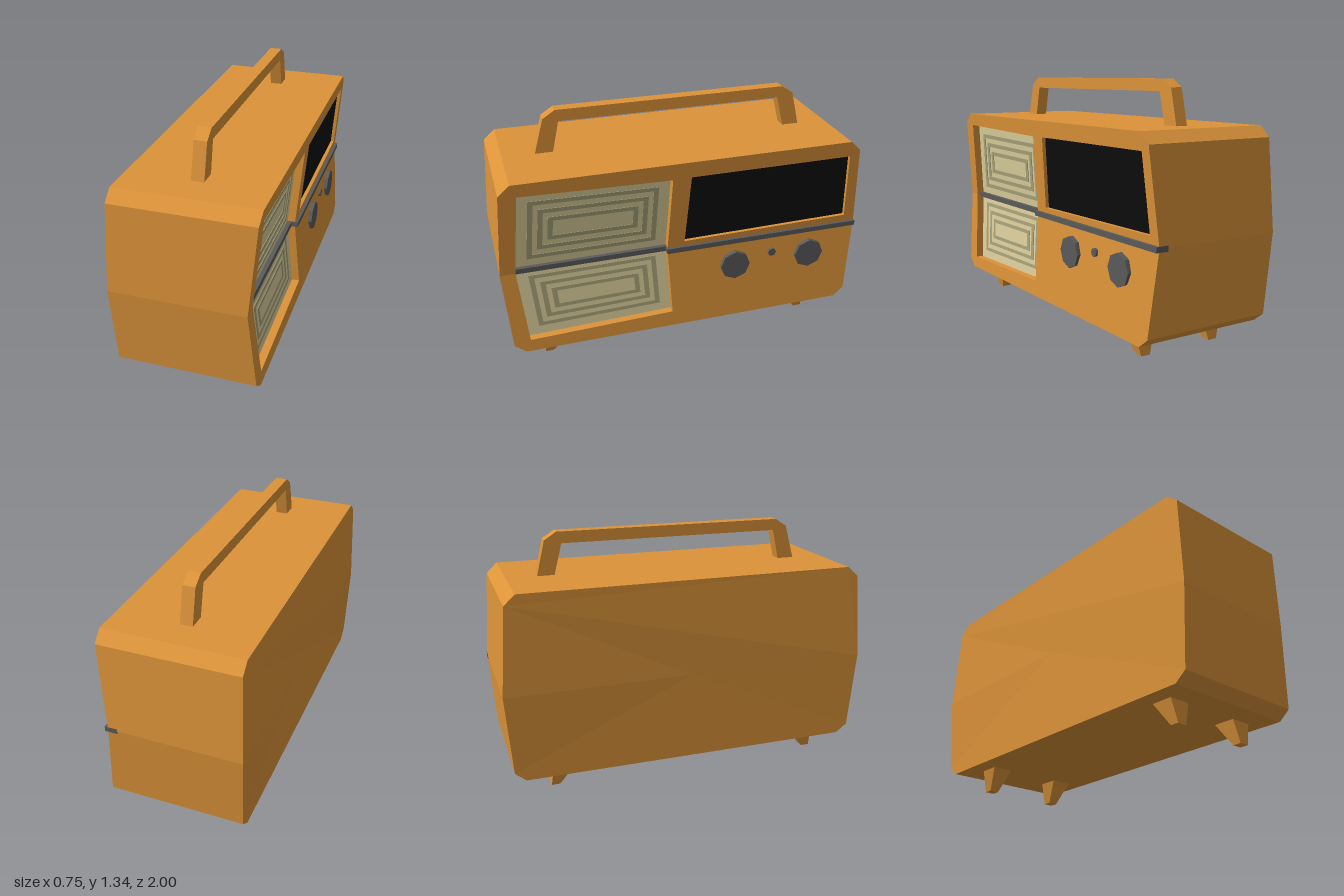
import * as THREE from 'three';

const mat = (color) => new THREE.MeshStandardMaterial({ color, flatShading: true });

const MID = 0.59, DEPTH = 0.045;
// front face is a shallow V in profile, deepest at mid height
const front = (y) => 0.33 + 0.085 * Math.abs(y - MID);
const inset = (d) => (y) => front(y) - d;
// back bulges slightly at the mid-height ends
const back = (y, u) => -0.362 - (Math.abs(y - MID) < 0.01 ? 0.013 * Math.abs(u) : 0);

// Outline in (u = -z, y), given thickness along x between two functions
function slab(points, holes, xBack, xFront) {
  const vec = (p) => p.map(([u, y]) => new THREE.Vector2(u, y));
  const shape = new THREE.Shape(vec(points));
  holes.forEach((h) => shape.holes.push(new THREE.Path(vec(h))));
  const geo = new THREE.ExtrudeGeometry(shape, { depth: 1, bevelEnabled: false });
  const p = geo.attributes.position;
  for (let i = 0; i < p.count; i++) {
    const u = p.getX(i), y = p.getY(i), t = p.getZ(i);
    p.setXYZ(i, THREE.MathUtils.lerp(xBack(y, u), xFront(y, u), t), y, -u);
  }
  geo.computeVertexNormals();
  return geo;
}

// Rectangle inside a four-cornered panel, inset by fractions of its size
function insetQuad([a, b, c, d], fu, fv) {
  const at = (s, t) => [0, 1].map((k) =>
    (1 - t) * ((1 - s) * a[k] + s * b[k]) + t * ((1 - s) * d[k] + s * c[k]));
  return [at(fu, fv), at(1 - fu, fv), at(1 - fu, 1 - fv), at(fu, 1 - fv)];
}

export function createModel() {
  const model = new THREE.Group();
  const orange = mat(0xdc9339), cream = mat(0xdccf9c), olive = mat(0xa8a27a);
  const black = mat(0x0d0d0d), grey = mat(0x5a5a5a);
  const add = (name, geo, material, parent = model) => {
    const mesh = new THREE.Mesh(geo, material);
    mesh.name = name;
    parent.add(mesh);
    return mesh;
  };

  // Case: upper and lower halves meeting at the mid crease
  const upperEdge = [[1, MID], [0.965, 1.055], [0.907, 1.11], [-0.907, 1.11], [-0.968, 1.055], [-1, MID]];
  const lowerEdge = [[1, MID], [0.965, 0.165], [0.907, 0.118], [-0.907, 0.118], [-0.968, 0.165], [-1, MID]];
  const upperNotch = [[-0.92, MID], [-0.88, 1.04], [-0.09, 1.02], [-0.11, MID]];
  const lowerNotch = [[-0.92, MID], [-0.88, 0.185], [-0.09, 0.205], [-0.11, MID]];
  const screenQuad = [[-0.015, 0.63], [0.935, 0.642], [0.91, 1.022], [0.01, 1.022]];

  add('upperCase', slab([...upperEdge, [0, MID]], [], back, inset(DEPTH)), orange);
  add('lowerCase', slab([...lowerEdge, [0, MID]], [], back, inset(DEPTH)), orange);
  add('upperFrontFrame', slab([...upperEdge, ...upperNotch], [screenQuad], inset(DEPTH), front), orange);
  add('lowerFrontFrame', slab([...lowerEdge, ...lowerNotch], [], inset(DEPTH), front), orange);
  add('screen', slab(screenQuad, [], inset(DEPTH), inset(0.02)), black);

  // Speaker grilles with three nested rings each
  [['upperSpeaker', upperNotch], ['lowerSpeaker', lowerNotch]].forEach(([name, [oMid, oEnd, iEnd, iMid]]) => {
    const speaker = new THREE.Group();
    speaker.name = name;
    model.add(speaker);
    const quad = [oMid, iMid, iEnd, oEnd];
    add('grille', slab(quad, [], inset(DEPTH), inset(0.042)), cream, speaker);
    for (let k = 0; k < 3; k++) {
      const fu = 0.075 + 0.065 * k, fv = 0.12 + 0.115 * k;
      const ring = slab(insetQuad(quad, fu, fv), [insetQuad(quad, fu + 0.033, fv + 0.05)],
        inset(0.043), inset(0.039));
      add('grilleRing', ring, olive, speaker);
    }
  });

  // Trim strip, stepping back into the speaker recess
  const strip = (u0, u1, x0, x1) => slab(
    [[u0, 0.574], [u1, 0.574], [u1, 0.602], [u0, 0.602]], [], () => x0, () => x1);
  add('trimStrip', strip(-0.115, 1, 0.28, 0.348), grey);
  add('recessedTrimStrip', strip(-0.92, -0.1, 0.28, 0.312), grey);

  // Control knobs
  const knob = (name, u, y, radius, xEnd) => {
    const geo = new THREE.CylinderGeometry(radius, radius, xEnd - 0.32, 8).rotateZ(-Math.PI / 2);
    add(name, geo, grey).position.set((xEnd + 0.32) / 2, y, -u);
  };
  knob('knob', 0.275, 0.44, 0.085, 0.362);
  knob('knob', 0.72, 0.44, 0.085, 0.362);
  knob('smallKnob', 0.497, 0.48, 0.023, 0.352);

  // Carrying handle
  add('handle', slab([
    [-0.74, 1.1], [-0.645, 1.1], [-0.605, 1.275], [0.61, 1.275], [0.655, 1.1], [0.747, 1.1],
    [0.7, 1.295], [0.635, 1.337], [-0.62, 1.337], [-0.685, 1.295],
  ], [], () => -0.028, () => 0.038), orange);

  // Splayed, tapered feet
  for (const x of [-0.21, 0.22]) for (const side of [-1, 1]) {
    const geo = new THREE.BoxGeometry(1, 0.13, 1).translate(0, 0.065, 0);
    const p = geo.attributes.position;
    for (let i = 0; i < p.count; i++) {
      const top = p.getY(i) > 0.01;
      p.setX(i, x + p.getX(i) * (top ? 0.122 : 0.052));
      p.setZ(i, 0.018 + side * (top ? 0.705 : 0.754) + p.getZ(i) * (top ? 0.122 : 0.047));
    }
    geo.computeVertexNormals();
    add('foot', geo, orange);
  }
  return model;
}
